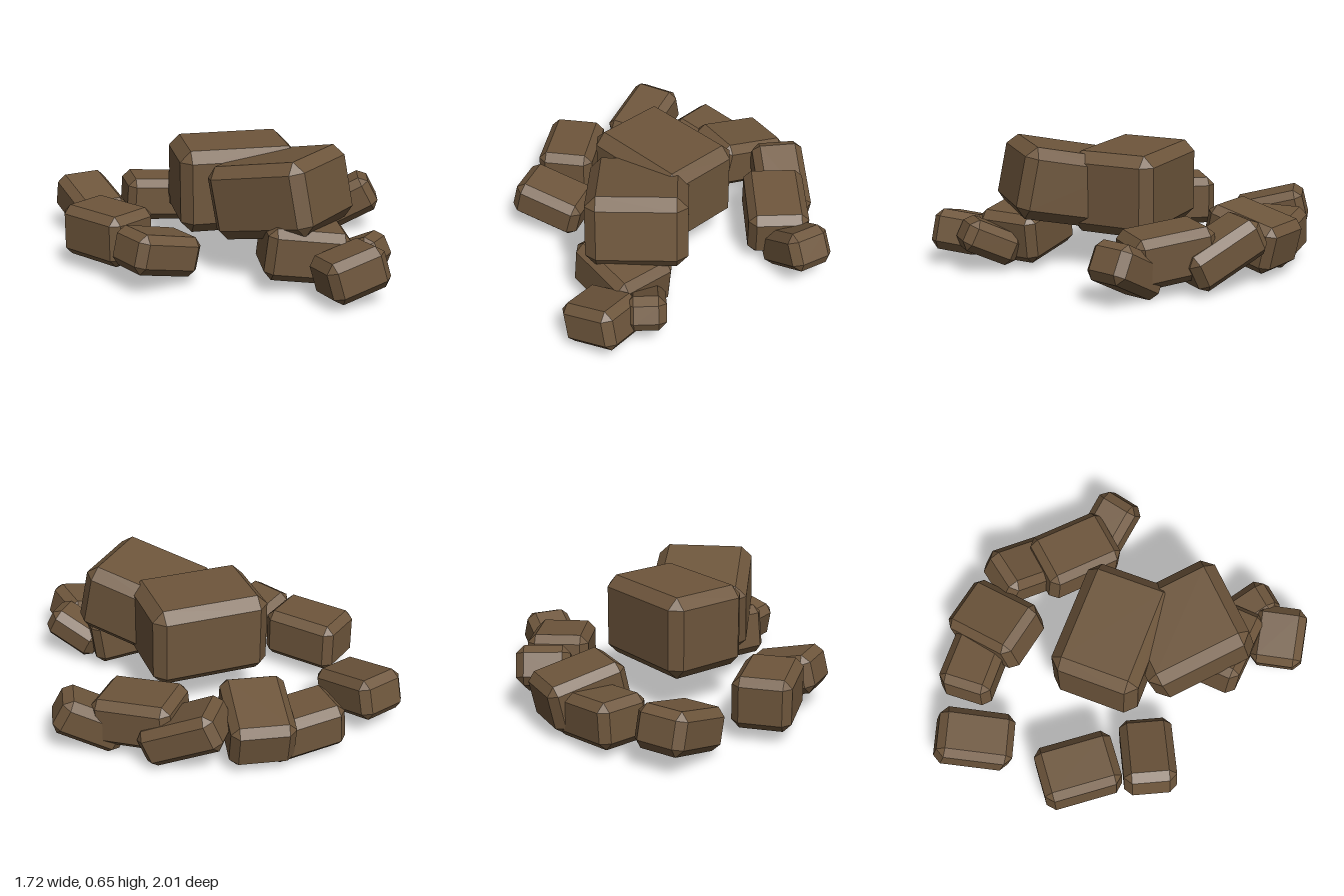
import * as THREE from 'three';
import { ConvexGeometry } from 'three/addons/geometries/ConvexGeometry.js';

// Box with chamfered edges and clipped corners
function chamferedBlock(w, h, d, bevel) {
  const half = [w / 2, h / 2, d / 2];
  const points = [];
  for (const sx of [-1, 1]) for (const sy of [-1, 1]) for (const sz of [-1, 1]) {
    const sign = [sx, sy, sz];
    for (let axis = 0; axis < 3; axis++) {
      points.push(new THREE.Vector3(...half.map((v, i) => sign[i] * (i === axis ? v : v - bevel))));
    }
  }
  return new ConvexGeometry(points);
}

export function createModel() {
  const group = new THREE.Group();
  group.name = 'rockPile';
  const stone = new THREE.MeshStandardMaterial({ color: 0x6e563c });
  stone.name = 'brown stone';

  function addRock(name, size, position, [pitch, yaw, roll], bevel = 0.04) {
    const rock = new THREE.Mesh(chamferedBlock(...size, bevel), stone);
    rock.name = name;
    rock.position.set(...position);
    rock.rotation.set(pitch, yaw, roll, 'YXZ');
    group.add(rock);
  }

  // Two large raised boulders in the middle
  addRock('centreBoulder', [0.61, 0.42, 0.46], [-0.05, 0.4, -0.04], [0, -0.45, 0], 0.055);
  addRock('frontBoulder', [0.5, 0.37, 0.56], [-0.04, 0.42, 0.33], [-0.2, 0.34, 0], 0.055);

  // Small rocks at the front
  addRock('frontUpperRock', [0.41, 0.26, 0.34], [-0.05, 0.18, 0.52], [0, -0.52, -0.13]);
  addRock('frontLowerRock', [0.31, 0.21, 0.27], [-0.03, 0.15, 0.84], [-0.1, -0.27, 0.25]);
  addRock('frontSmallRock', [0.2, 0.17, 0.3], [0.14, 0.15, 0.7], [-0.45, 0.4, 0]);

  // Rocks on the right side
  addRock('rightFrontRock', [0.37, 0.2, 0.27], [-0.62, 0.17, 0.09], [0, 0, -0.25]);
  addRock('rightMiddleRock', [0.29, 0.26, 0.4], [-0.67, 0.19, -0.27], [0, 0.2, 0]);
  addRock('rightBackRock', [0.27, 0.21, 0.39], [-0.45, 0.165, -0.79], [0.25, -0.15, 0]);

  // Arc of rocks around the back and left side
  addRock('backRock', [0.4, 0.23, 0.28], [-0.02, 0.14, -0.76], [0, -0.4, -0.08]);
  addRock('backLeftRock', [0.32, 0.25, 0.41], [0.16, 0.19, -0.64], [-0.22, -0.64, 0]);
  addRock('leftBackRock', [0.27, 0.2, 0.42], [0.465, 0.185, -0.455], [0.45, 0.48, 0]);
  addRock('leftMiddleRock', [0.31, 0.25, 0.42], [0.515, 0.19, -0.2], [0.1, 0.4, 0]);
  addRock('leftFrontRock', [0.36, 0.2, 0.23], [0.68, 0.15, -0.01], [0, -0.68, 0.48]);

  return group;
}
